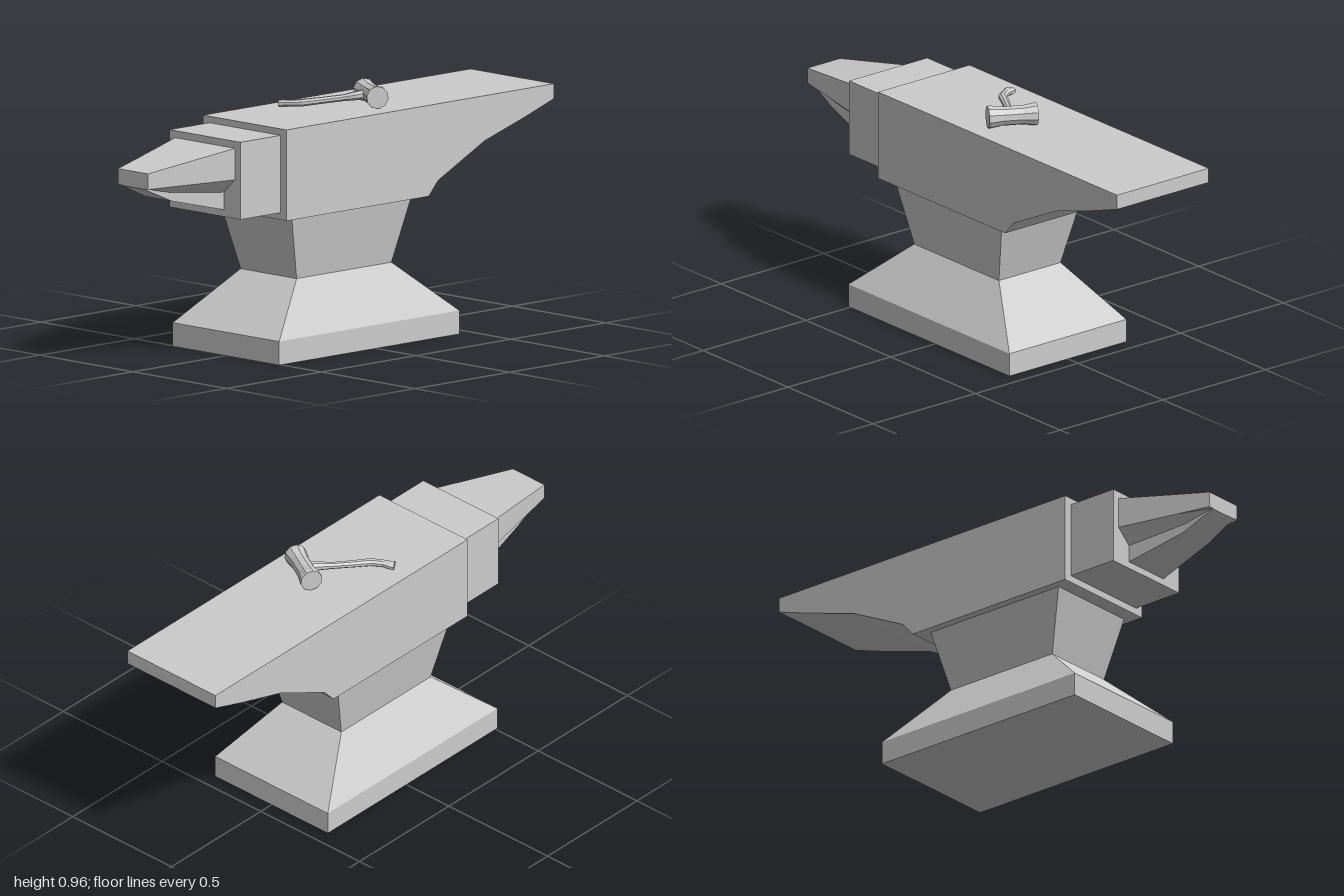
import * as THREE from 'three';

const material = new THREE.MeshStandardMaterial({ color: 0xcccccc, flatShading: true });

// Closed skin through equal-sized rings, each counterclockwise seen from the last ring's side
function loft(rings) {
  const pos = [];
  const tri = (...pts) => pts.forEach(p => pos.push(...p));
  const n = rings[0].length;
  const centre = ring => [0, 1, 2].map(k => ring.reduce((s, p) => s + p[k], 0) / n);
  for (let j = 0; j < n; j++) {
    const k = (j + 1) % n;
    for (let i = 0; i < rings.length - 1; i++) {
      const a = rings[i], b = rings[i + 1];
      tri(a[j], a[k], b[k]);
      tri(a[j], b[k], b[j]);
    }
    const first = rings[0], last = rings[rings.length - 1];
    tri(centre(first), first[k], first[j]);
    tri(centre(last), last[j], last[k]);
  }
  const g = new THREE.BufferGeometry();
  g.setAttribute('position', new THREE.Float32BufferAttribute(pos, 3));
  g.computeVertexNormals();
  return g;
}

function addPart(parent, name, geometry) {
  const mesh = new THREE.Mesh(geometry, material);
  mesh.name = name;
  parent.add(mesh);
  return mesh;
}

// Horizontal rectangle at height y
const rect = (y, x0, x1, z) => [[x1, y, z], [x1, y, -z], [x0, y, -z], [x0, y, z]];

// Horn cross-section: straight-sided upper bar with a narrower keel below
const hornRing = (x, top, w, keel, keelTop, keelBottom) => [
  [w, 0.705], [w, top], [-w, top], [-w, 0.705],
  [-keel, keelTop], [-keel, keelBottom], [keel, keelBottom], [keel, keelTop],
].map(([z, y]) => [x, y, z]);

function createHammer() {
  const hammer = new THREE.Group();
  hammer.name = 'hammer';

  // Head: waisted cylinder lying on the anvil face
  const profile = [
    [0, -0.094], [0.043, -0.094], [0.044, -0.085], [0.037, -0.04],
    [0.037, 0.04], [0.044, 0.085], [0.043, 0.094], [0, 0.094],
  ].map(([r, y]) => new THREE.Vector2(r, y));
  const head = addPart(hammer, 'hammerHead', new THREE.LatheGeometry(profile, 10));
  head.position.set(0.19, 0.921, 0.065);
  head.quaternion.setFromUnitVectors(
    new THREE.Vector3(0, 1, 0), new THREE.Vector3(0.09, 0, -0.165).normalize());

  // Handle: bent grip, wider at its end [x, y, z, half width, half height]
  const stations = [
    [0.185, 0.921, 0.062, 0.022, 0.02],
    [0.135, 0.915, 0.035, 0.02, 0.017],
    [0.1, 0.909, 0.01, 0.014, 0.013],
    [0.03, 0.902, -0.035, 0.016, 0.013],
    [-0.035, 0.896, -0.075, 0.018, 0.014],
    [-0.062, 0.893, -0.11, 0.017, 0.013],
    [-0.072, 0.892, -0.135, 0.021, 0.014],
    [-0.082, 0.891, -0.15, 0.024, 0.013],
  ];
  const rings = stations.map(([x, y, z, w, h], i) => {
    const a = stations[Math.max(i - 1, 0)], b = stations[Math.min(i + 1, stations.length - 1)];
    const dx = b[0] - a[0], dz = b[2] - a[2], len = Math.hypot(dx, dz);
    return Array.from({ length: 8 }, (_, j) => {
      const t = (j + 0.5) * Math.PI / 4, c = Math.cos(t) * w;
      return [x + c * dz / len, y + Math.sin(t) * h, z - c * dx / len];
    });
  });
  addPart(hammer, 'hammerHandle', loft(rings));
  return hammer;
}

export function createModel() {
  const model = new THREE.Group();
  model.name = 'anvilWithHammer';

  // Foot and waist
  addPart(model, 'foot', loft([
    rect(0, -0.51, 0.44, 0.285), rect(0.09, -0.51, 0.44, 0.285), rect(0.285, -0.285, 0.215, 0.15),
  ]));
  addPart(model, 'waist', loft([
    rect(0.285, -0.285, 0.215, 0.15), rect(0.53, -0.35, 0.28, 0.19),
  ]));

  // Body with the tapering heel
  const outline = new THREE.Shape([
    [-0.41, 0.53], [0.34, 0.53], [0.39, 0.585], [0.635, 0.705],
    [0.85, 0.77], [1, 0.82], [1, 0.877], [-0.41, 0.877],
  ].map(([x, y]) => new THREE.Vector2(x, y)));
  const body = new THREE.ExtrudeGeometry(outline, { depth: 0.446, bevelEnabled: false });
  body.translate(0, 0, -0.223);
  addPart(model, 'body', body);

  // Step between body and horn
  const step = addPart(model, 'step', new THREE.BoxGeometry(0.21, 0.295, 0.38));
  step.position.set(-0.515, 0.7045, 0);

  // Horn
  addPart(model, 'horn', loft([
    hornRing(-0.62, 0.825, 0.16, 0.1, 0.65, 0.583),
    hornRing(-0.865, 0.786, 0.108, 0.07, 0.675, 0.643),
    hornRing(-1, 0.765, 0.08, 0.06, 0.705, 0.703),
  ]));

  model.add(createHammer());
  return model;
}
